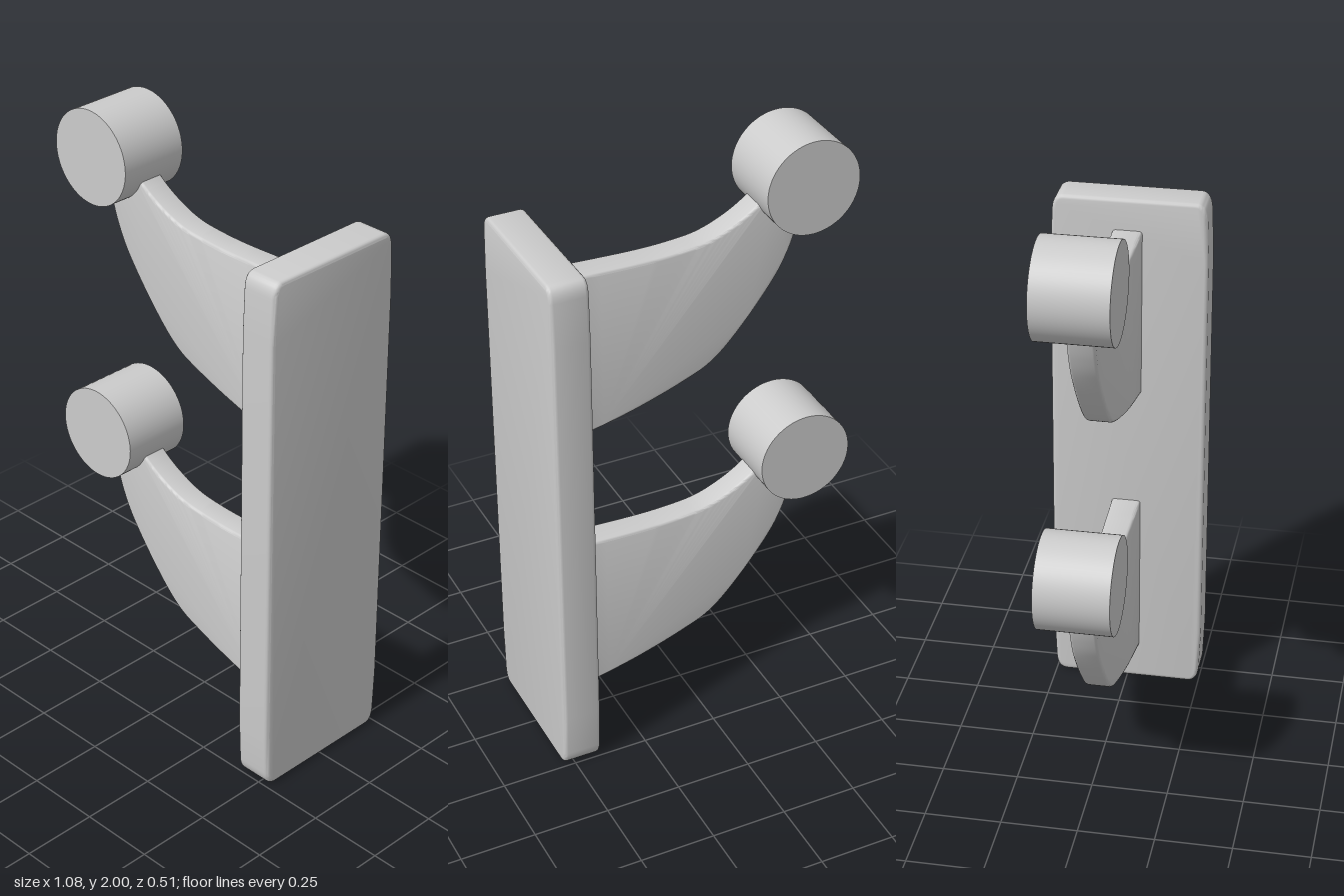
import * as THREE from 'three';
import { toCreasedNormals } from 'three/addons/utils/BufferGeometryUtils.js';

const material = new THREE.MeshStandardMaterial({ color: 0xcccccc });

// Extrusion centred on its depth, with a bevel that stays inside the outline
function slab(shape, depth, bevel) {
  const geometry = new THREE.ExtrudeGeometry(shape, {
    depth: depth - 2 * bevel, curveSegments: 8, bevelEnabled: true,
    bevelThickness: bevel, bevelSize: bevel, bevelOffset: -bevel, bevelSegments: 3,
  });
  return geometry.translate(0, 0, bevel - depth / 2);
}

function add(parent, name, geometry) {
  const mesh = new THREE.Mesh(geometry, material);
  mesh.name = name;
  parent.add(mesh);
  return mesh;
}

// Upright plate with rounded corners, lying in the y-z plane
function plateGeometry() {
  const w = 0.257, h = 1.795, rx = 0.045, ry = 0.05;
  const s = new THREE.Shape();
  s.moveTo(-w + rx, 0);
  s.lineTo(w - rx, 0).quadraticCurveTo(w - 0.01, 0, w - 0.006, ry);
  s.lineTo(w, 0.2).lineTo(w, h - 0.2).lineTo(w - 0.006, h - ry);
  s.quadraticCurveTo(w - 0.01, h, w - rx, h);
  s.lineTo(-w + rx, h).quadraticCurveTo(-w + 0.01, h, -w + 0.006, h - ry);
  s.lineTo(-w, h - 0.2).lineTo(-w, 0.2).lineTo(-w + 0.006, ry);
  s.quadraticCurveTo(-w + 0.01, 0, -w + rx, 0);
  const geometry = slab(s, 0.127, 0.013).rotateY(Math.PI / 2);
  return toCreasedNormals(geometry.translate(0.4735, 0, -0.001), 0.6);
}

// Curved arm, broad at the plate and narrowing towards the peg
function armGeometry() {
  const v = (x, y) => new THREE.Vector2(x, y);
  const s = new THREE.Shape();
  s.moveTo(0.43, 1.107);
  s.splineThru([v(0.2, 1.157), v(0, 1.222), v(-0.1, 1.275), v(-0.2, 1.378),
    v(-0.3, 1.51), v(-0.35, 1.605), v(-0.382, 1.7)]);
  s.lineTo(-0.37, 1.79).lineTo(-0.29, 1.83);
  s.splineThru([v(-0.23, 1.775), v(-0.16, 1.732), v(-0.08, 1.7),
    v(0, 1.687), v(0.15, 1.681), v(0.43, 1.69)]);
  const geometry = slab(s, 0.087, 0.01);
  // Slightly thicker at the plate
  const p = geometry.attributes.position;
  for (let i = 0; i < p.count; i++) {
    const t = THREE.MathUtils.clamp(p.getX(i) / 0.42, 0, 1);
    p.setZ(i, p.getZ(i) * (1 + 0.12 * t) - 0.0065);
  }
  return toCreasedNormals(geometry, 0.6);
}

export function createModel() {
  const model = new THREE.Group();
  model.name = 'wallRack';
  add(model, 'backPlate', plateGeometry());

  const arm = armGeometry();
  const peg = new THREE.CylinderGeometry(0.157, 0.157, 0.24, 64)
    .rotateX(Math.PI / 2).translate(-0.385, 1.843, -0.008);

  // Two identical hooks, one above the other
  for (const [name, y] of [['upperHook', 0], ['lowerHook', -0.983]]) {
    const hook = new THREE.Group();
    hook.name = name;
    hook.position.y = y;
    add(hook, 'arm', arm);
    add(hook, 'peg', peg);
    model.add(hook);
  }
  return model;
}
